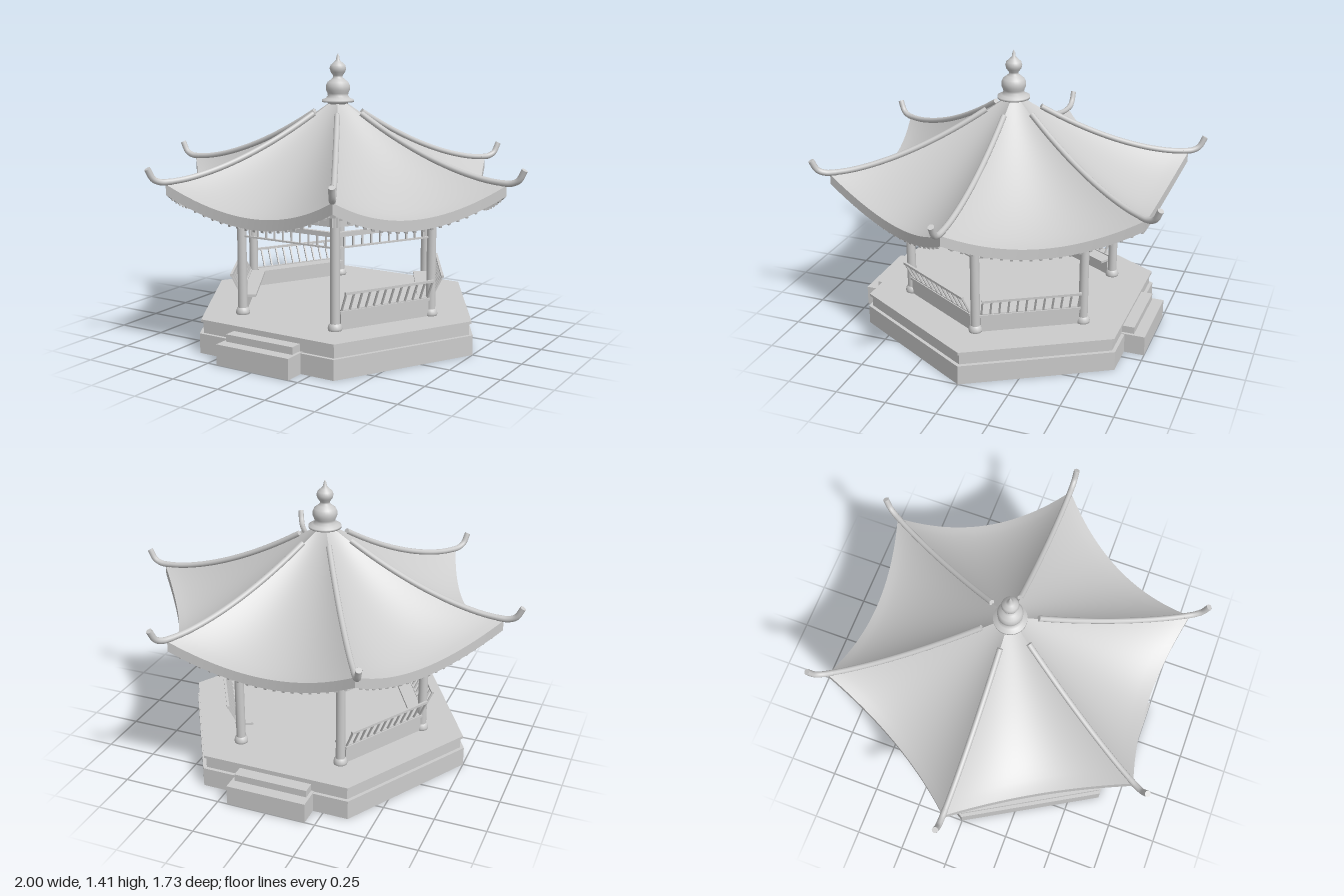
import * as THREE from 'three';
import { mergeGeometries } from 'three/addons/utils/BufferGeometryUtils.js';

const smooth = new THREE.MeshStandardMaterial({ color: 0xcccccc, side: THREE.DoubleSide });
const flat = new THREE.MeshStandardMaterial({ color: 0xcccccc, flatShading: true });
const V = (x, y, z) => new THREE.Vector3(x, y, z);
const COL = 0.525;                 // radius of the column circle
const APO = COL * Math.sqrt(3) / 2; // distance from centre to a side
const FASCIA = 0.05;

function add(parent, name, geometry, material = flat, x = 0, y = 0, z = 0) {
  const mesh = new THREE.Mesh(geometry, material);
  mesh.name = name;
  mesh.position.set(x, y, z);
  parent.add(mesh);
  return mesh;
}

// box given by its bottom and top height
function box(parent, name, w, y0, y1, d, x = 0, z = 0) {
  return add(parent, name, new THREE.BoxGeometry(w, y1 - y0, d), flat, x, (y0 + y1) / 2, z);
}

// square bar running from a to b
function bar(parent, name, a, b, w, h = w) {
  const mesh = add(parent, name, new THREE.BoxGeometry(w, h, a.distanceTo(b)));
  mesh.position.copy(a).add(b).multiplyScalar(0.5);
  mesh.lookAt(b);
  return mesh;
}

// round bar along a curve, closed at both ends
function cappedTube(points, radius, segments) {
  const curve = new THREE.CatmullRomCurve3(points);
  const parts = [new THREE.TubeGeometry(curve, segments, radius, 10)];
  for (const [u, dir] of [[0, -1], [1, 1]]) {
    const cap = new THREE.CircleGeometry(radius, 10);
    const out = curve.getTangent(u).multiplyScalar(dir);
    cap.applyQuaternion(new THREE.Quaternion().setFromUnitVectors(V(0, 0, 1), out));
    const p = curve.getPoint(u);
    cap.translate(p.x, p.y, p.z);
    parts.push(cap);
  }
  return mergeGeometries(parts);
}

// roof heights along the hip and along the middle of a panel, t from apex to eave
const hipY = t => 1.165 - 0.335 * (1 - Math.pow(1 - t, 1.67));
const midY = t => 1.165 - 0.46 * (1 - Math.pow(1 - t, 1.45));
const hipR = t => 0.05 + 0.85 * t;

// point on the front panel, s from -1 to 1 between the hips
function roofPoint(s, t, drop = 0) {
  const k = s * s;
  const z = (0.043 + 0.682 * t) * (1 - k) + hipR(t) * 0.866 * k;
  return V(s * hipR(t) / 2, midY(t) * (1 - k) + hipY(t) * k - drop, z);
}

function sheet(ns, nt, rule) {
  const g = new THREE.PlaneGeometry(2, 1, ns, nt);
  const p = g.attributes.position;
  for (let i = 0; i < p.count; i++) {
    const q = rule(p.getX(i), 0.5 - p.getY(i));
    p.setXYZ(i, q.x, q.y, q.z);
  }
  g.computeVertexNormals();
  return g;
}

function roofPanel() {
  const g = new THREE.Group();
  g.name = 'roofPanel';
  add(g, 'roofTop', sheet(24, 20, (s, t) => roofPoint(s, t)), smooth);
  add(g, 'roofUnderside', sheet(24, 20, (s, t) => roofPoint(-s, t, FASCIA)), smooth);
  add(g, 'eaveFascia', sheet(24, 1, (s, t) => roofPoint(s, 1, FASCIA * t)), smooth);
  const n = 19;
  for (let i = 0; i < n; i++) {
    const s = -0.9 + 1.8 * i / (n - 1);
    bar(g, 'rafter', roofPoint(s, 0.78, FASCIA + 0.006), roofPoint(s, 0.99, FASCIA + 0.006), 0.013);
  }
  return g;
}

// beam and hanging lattice between two columns
function lintel() {
  const g = new THREE.Group();
  g.name = 'lintel';
  box(g, 'beam', 0.57, 0.65, 0.705, 0.03, 0, APO);
  box(g, 'latticeTopRail', COL, 0.602, 0.624, 0.02, 0, APO);
  box(g, 'latticeBottomRail', COL, 0.547, 0.555, 0.012, 0, APO);
  for (let i = 1; i < 11; i++) {
    box(g, 'latticeBar', 0.007, 0.55, 0.605, 0.008, (i / 11 - 0.5) * COL, APO);
  }
  return g;
}

// bench with a leaning slatted back
function bench() {
  const g = new THREE.Group();
  g.name = 'bench';
  const half = 0.24;
  box(g, 'benchPanel', 0.48, 0.16, 0.245, 0.03, 0, APO);
  box(g, 'benchSeat', 0.49, 0.243, 0.255, 0.085, 0, APO - 0.02);
  const low = x => V(x, 0.255, APO + 0.012);
  const high = x => V(x, 0.348, APO + 0.057);
  bar(g, 'backTopRail', high(-half), high(half), 0.012);
  bar(g, 'backBottomRail', low(-half), low(half), 0.01);
  for (let i = 0; i < 12; i++) {
    const x = (i / 11 - 0.5) * 2 * (half - 0.005);
    bar(g, 'backSlat', low(x), high(x), 0.008);
  }
  return g;
}

// everything that stands on a corner, laid out along +x
function corner() {
  const g = new THREE.Group();
  g.name = 'corner';
  add(g, 'column', new THREE.CylinderGeometry(0.022, 0.023, 0.56, 20), smooth, COL, 0.44, 0);
  const foot = [[0, 0.16], [0.032, 0.16], [0.034, 0.175], [0.03, 0.19], [0.023, 0.197]];
  add(g, 'columnFoot', new THREE.LatheGeometry(foot.map(p => new THREE.Vector2(...p)), 20), smooth, COL, 0, 0);
  box(g, 'columnCap', 0.06, 0.698, 0.725, 0.06, COL);
  box(g, 'hipPost', 0.025, 0.72, 0.87, 0.025, COL);
  bar(g, 'hipBeam', V(0.53, hipY(0.56) - 0.065, 0), V(0.85, hipY(0.95) - 0.065, 0), 0.024, 0.03);
  const ridge = [];
  for (let i = 0; i <= 8; i++) {
    const t = 0.1 + 0.9 * i / 8;
    ridge.push(V(hipR(t), hipY(t) + 0.008, 0));
  }
  add(g, 'hipRidge', cappedTube(ridge, 0.014, 32), smooth);
  const curl = [V(0.87, 0.84, 0), V(0.92, 0.841, 0), V(0.958, 0.858, 0), V(0.986, 0.908, 0)];
  add(g, 'ridgeCurl', cappedTube(curl, 0.015, 16), smooth);
  return g;
}

export function createModel() {
  const model = new THREE.Group();
  model.name = 'hexagonalPavilion';

  // stepped stone base
  for (const [name, r, y0, y1] of [['baseLower', 0.75, 0, 0.097], ['baseUpper', 0.73, 0.097, 0.152], ['floorSlab', 0.742, 0.152, 0.165]]) {
    add(model, name, new THREE.CylinderGeometry(r, r, y1 - y0, 6, 1, false, Math.PI / 6), flat, 0, (y0 + y1) / 2, 0);
  }
  for (const side of [1, -1]) {
    box(model, 'lowerStep', 0.4, 0, 0.1, 0.15, 0, side * 0.675);
    box(model, 'upperStep', 0.37, 0.1, 0.135, 0.1, 0, side * 0.643);
  }

  // six sides and corners, with the front and back left open as entrances
  for (let k = 0; k < 6; k++) {
    const parts = [roofPanel(), lintel(), corner()];
    if (k % 3 !== 0) parts.push(bench());
    for (const part of parts) {
      part.rotation.y = k * Math.PI / 3;
      model.add(part);
    }
  }

  // finial
  const profile = [
    [0, 1.12], [0.04, 1.13], [0.05, 1.168], [0.08, 1.172], [0.08, 1.182], [0.06, 1.19], [0.05, 1.203],
    [0.052, 1.215], [0.059, 1.23], [0.06, 1.25], [0.052, 1.268], [0.034, 1.282], [0.023, 1.292], [0.024, 1.302],
    [0.036, 1.318], [0.041, 1.335], [0.036, 1.352], [0.02, 1.366], [0.01, 1.376], [0.007, 1.395], [0, 1.41],
  ];
  add(model, 'finial', new THREE.LatheGeometry(profile.map(p => new THREE.Vector2(...p)), 28), smooth);
  return model;
}
